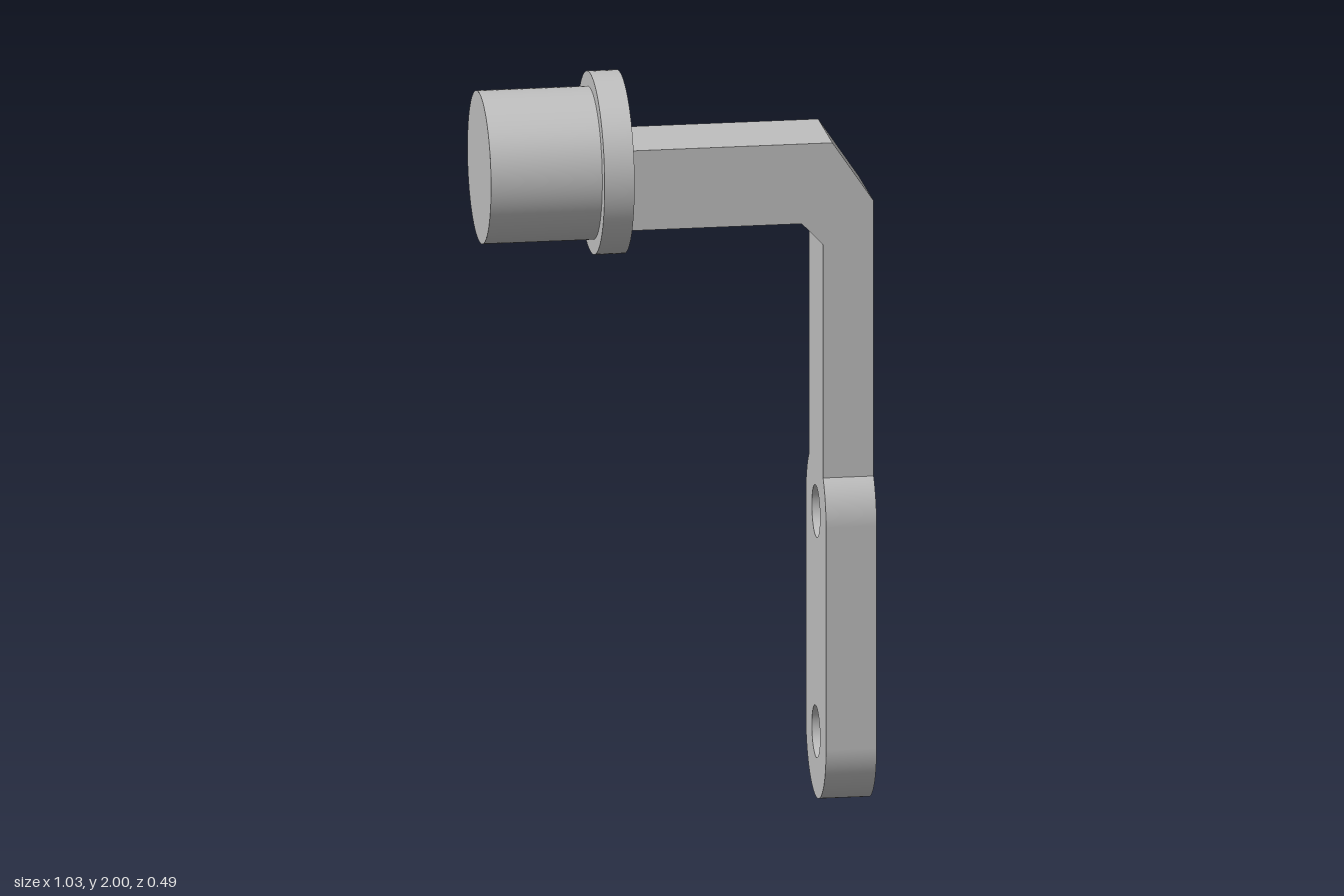
import * as THREE from 'three';

const metal = new THREE.MeshStandardMaterial({ color: 0xbfbfbf });
metal.name = 'grey metal';
const metalInside = metal.clone();
metalInside.name = 'grey metal inside';
metalInside.side = THREE.BackSide;

const AXIS_Y = 1.757, KNOB_R = 0.203, FLANGE_R = 0.243;
const KNOB_X0 = -0.517, KNOB_X1 = -0.22, FLANGE_X1 = -0.14;
const BAR_X0 = 0.382, BAR_X1 = 0.517, BAR_HALF = 0.122;
const HOLE_X = -0.355, HOLE_R = 0.045, HOLE_DEPTH = 0.12;
const PATCH = 0.5; // half angle of the knob wall strip that holds the screw hole

function add(parent, name, geometry, material = metal) {
  const mesh = new THREE.Mesh(geometry, material);
  mesh.name = name;
  parent.add(mesh);
  return mesh;
}

// Disc or cylinder lying along x
function alongX(geometry, x) {
  return geometry.rotateZ(-Math.PI / 2).translate(x, AXIS_Y, 0);
}

// Strip of knob wall, graded from a round hole out to a rectangle
function holedWall() {
  const pos = [], nor = [], idx = [], rings = 10, seg = 64;
  const left = KNOB_X0 - HOLE_X, right = KNOB_X1 - HOLE_X;
  // Square-like parameter keeps the rectangle corners exact
  for (let j = 0; j <= rings; j++) {
    for (let i = 0; i <= seg; i++) {
      const a = (i / seg) * Math.PI * 2;
      const c = Math.cos(a), s = Math.sin(a), m = Math.max(Math.abs(c), Math.abs(s));
      const hx = HOLE_R * c, ha = Math.asin(HOLE_R * s / KNOB_R);
      const rx = (c / m) * (c > 0 ? right : -left), ra = (s / m) * PATCH;
      const t = j / rings;
      const x = hx + (rx - hx) * t, ang = ha + (ra - ha) * t;
      const ny = -Math.cos(ang), nz = Math.sin(ang);
      pos.push(HOLE_X + x, AXIS_Y + KNOB_R * ny, KNOB_R * nz);
      nor.push(0, ny, nz);
      if (j < rings && i < seg) {
        const p = j * (seg + 1) + i, q = p + seg + 1;
        idx.push(p, q, p + 1, p + 1, q, q + 1);
      }
    }
  }
  const g = new THREE.BufferGeometry();
  g.setAttribute('position', new THREE.Float32BufferAttribute(pos, 3));
  g.setAttribute('normal', new THREE.Float32BufferAttribute(nor, 3));
  g.setIndex(idx);
  return g;
}

function makeKnob() {
  const knob = new THREE.Group();
  knob.name = 'knob';
  const len = KNOB_X1 - KNOB_X0;

  // Round wall, left open at the bottom for the holed strip
  const wall = new THREE.CylinderGeometry(KNOB_R, KNOB_R, len, 80, 1, true,
    -Math.PI / 2 + PATCH, Math.PI * 2 - 2 * PATCH);
  // After lying down, the start direction -x points up, so turn it to face down
  wall.rotateY(Math.PI);
  add(knob, 'knobWall', alongX(wall, (KNOB_X0 + KNOB_X1) / 2));
  add(knob, 'knobHoledWall', holedWall());

  const cap = new THREE.CircleGeometry(KNOB_R, 80).rotateY(-Math.PI / 2);
  add(knob, 'knobEnd', cap.translate(KNOB_X0, AXIS_Y, 0));

  // Blind screw hole, its mouth following the curved wall
  const bore = new THREE.CylinderGeometry(HOLE_R, HOLE_R, 1, 64, 1, true);
  const p = bore.attributes.position;
  const floorY = AXIS_Y - KNOB_R + HOLE_DEPTH;
  for (let i = 0; i < p.count; i++) {
    const mouth = AXIS_Y - Math.sqrt(KNOB_R ** 2 - p.getZ(i) ** 2);
    p.setY(i, p.getY(i) > 0 ? floorY : mouth);
  }
  add(knob, 'screwHoleWall', bore.translate(HOLE_X, 0, 0), metalInside);
  const floor = new THREE.CircleGeometry(HOLE_R, 64).rotateX(Math.PI / 2);
  add(knob, 'screwHoleFloor', floor.translate(HOLE_X, floorY, 0));

  const flange = new THREE.CylinderGeometry(FLANGE_R, FLANGE_R, FLANGE_X1 - KNOB_X1, 96);
  add(knob, 'flange', alongX(flange, (KNOB_X1 + FLANGE_X1) / 2));
  return knob;
}

// Bent square bar with chamfered elbow
function makeArm(bottomY) {
  const shape = new THREE.Shape([
    [FLANGE_X1, 1.6], [0.325, 1.6], [BAR_X0, 1.54], [BAR_X0, bottomY],
    [BAR_X1, bottomY], [BAR_X1, 1.655], [0.407, 1.818], [FLANGE_X1, 1.818],
  ].map(([x, y]) => new THREE.Vector2(x, y)));
  return new THREE.ExtrudeGeometry(shape, { depth: 2 * BAR_HALF, bevelEnabled: false })
    .translate(0, 0, -BAR_HALF);
}

// Rounded mounting plate with two bolt holes, drawn in z-y and extruded along x
function makePlate(r, lowY, highY, topY) {
  const a = Math.asin((topY - highY) / r);
  const shape = new THREE.Shape();
  shape.absarc(0, lowY, r, Math.PI, Math.PI * 2, false);
  shape.absarc(0, highY, r, 0, a, false);
  shape.absarc(0, highY, r, Math.PI - a, Math.PI, false);
  for (const y of [lowY + 0.005, highY]) {
    shape.holes.push(new THREE.Path().absarc(0, y, 0.07, 0, Math.PI * 2, true));
  }
  return new THREE.ExtrudeGeometry(shape, {
    depth: BAR_X1 - BAR_X0, bevelEnabled: false, curveSegments: 40,
  }).rotateY(Math.PI / 2).translate(BAR_X0, 0, 0);
}

// Smooth normals on curved sides while flat faces stay crisp
function smoothPlate(geometry, r, lowY, highY) {
  const p = geometry.attributes.position, n = geometry.attributes.normal;
  for (let i = 0; i < p.count; i++) {
    if (Math.abs(n.getX(i)) > 0.5) continue;
    const z = p.getZ(i), y = p.getY(i);
    for (const [cy, rad, sign] of [[lowY, r, 1], [highY, r, 1], [lowY + 0.005, 0.07, -1], [highY, 0.07, -1]]) {
      const d = Math.hypot(z, y - cy);
      const ny = sign * (y - cy) / d, nz = sign * z / d;
      if (Math.abs(d - rad) < 1e-3 && ny * n.getY(i) + nz * n.getZ(i) > 0.95) {
        n.setXYZ(i, 0, ny, nz);
      }
    }
  }
  return geometry;
}

export function createModel() {
  const model = new THREE.Group();
  model.name = 'bracketWithKnob';
  const r = 0.173, lowY = 0.173, highY = 0.78;
  const topY = highY + Math.sqrt(r * r - BAR_HALF * BAR_HALF);
  model.add(makeKnob());
  add(model, 'bentArm', makeArm(topY));
  add(model, 'mountingPlate', smoothPlate(makePlate(r, lowY, highY, topY), r, lowY, highY));
  return model;
}
